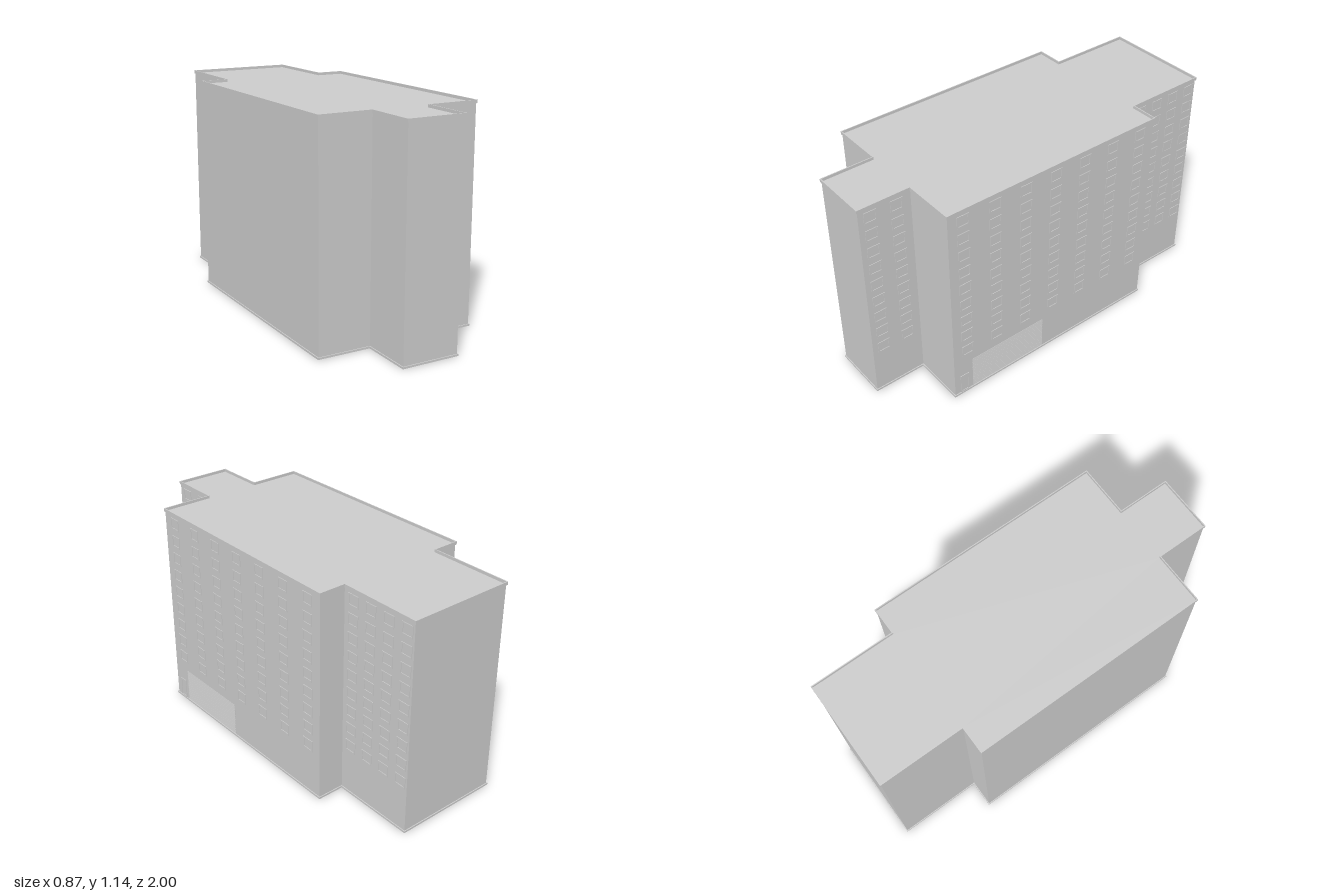
import * as THREE from 'three';

const mat = new THREE.MeshStandardMaterial({ color: 0xcccccc });

// Stepped floor plan, grown outward by o (list is x, z)
function plan(o) {
  const half = [
    [0.15 + o, 0.995 + o], [0.15 + o, 0.715 + o], [0.43 + o, 0.715 + o],
    [0.43 + o, -0.545 - o], [0.285 + o, -0.545 - o], [0.285 + o, -0.995 - o],
  ];
  const mirrored = half.map(([x, z]) => [-x, z]).reverse();
  return [...half, ...mirrored].map(([x, z]) => new THREE.Vector2(x, -z));
}

// Upright slab of the plan from y0 to y1, optionally hollow
function slab(name, o, y0, y1, hollow) {
  const shape = new THREE.Shape(plan(o));
  if (hollow) shape.holes.push(new THREE.Path(plan(0)));
  const geo = new THREE.ExtrudeGeometry(shape, { depth: y1 - y0, bevelEnabled: false });
  geo.rotateX(-Math.PI / 2);
  const mesh = new THREE.Mesh(geo, mat);
  mesh.name = name;
  mesh.position.y = y0;
  return mesh;
}

// Rectangular frame facing +x, centred on its own origin
function frameGeometry(w, h, bar, depth) {
  const rect = (S, a, b) => new S([[-a, -b], [a, -b], [a, b], [-a, b]].map(p => new THREE.Vector2(...p)));
  const shape = rect(THREE.Shape, w / 2, h / 2);
  shape.holes.push(rect(THREE.Path, w / 2 - bar, h / 2 - bar));
  const geo = new THREE.ExtrudeGeometry(shape, { depth, bevelEnabled: false });
  return geo.rotateY(Math.PI / 2);
}

export function createModel() {
  const model = new THREE.Group();
  model.name = 'building';

  // Main block, base skirting and roof parapet
  model.add(slab('walls', 0, 0, 1.125, false));
  model.add(slab('baseTrim', 0.005, 0, 0.01, false));
  model.add(slab('parapet', 0.005, 1.123, 1.14, true));

  // Window frames: nine floors on each stretch of the left wall
  const frame = frameGeometry(0.068, 0.062, 0.007, 0.003);
  const stretches = [
    { name: 'frontWingWindows', x: 0.15, z: 0.932, step: 0.14, count: 2 },
    { name: 'mainWindows', x: 0.43, z: 0.63, step: 0.181, count: 7 },
    { name: 'rearWingWindows', x: 0.285, z: -0.605, step: 0.115, count: 4 },
  ];
  for (const s of stretches) {
    const group = new THREE.Group();
    group.name = s.name;
    for (let col = 0; col < s.count; col++) {
      for (let row = 0; row < 9; row++) {
        const win = new THREE.Mesh(frame, mat);
        win.name = 'windowFrame';
        win.position.set(s.x, 0.28 + row * 0.0994, s.z - col * s.step);
        group.add(win);
      }
    }
    model.add(group);
  }

  // Small side door
  const door = new THREE.Mesh(frameGeometry(0.05, 0.11, 0.006, 0.003), mat);
  door.name = 'doorFrame';
  door.position.set(0.43, 0.065, 0.655);
  model.add(door);

  // Slatted garage shutter, each slat tilted slightly
  const shutter = new THREE.Group();
  shutter.name = 'shutter';
  const slat = new THREE.BoxGeometry(0.003, 0.009, 0.45);
  for (let i = 0; i < 16; i++) {
    const mesh = new THREE.Mesh(slat, mat);
    mesh.name = 'slat';
    mesh.position.set(0.431, 0.018 + i * 0.0115, 0.38);
    mesh.rotation.z = 0.2;
    shutter.add(mesh);
  }
  model.add(shutter);

  return model;
}
